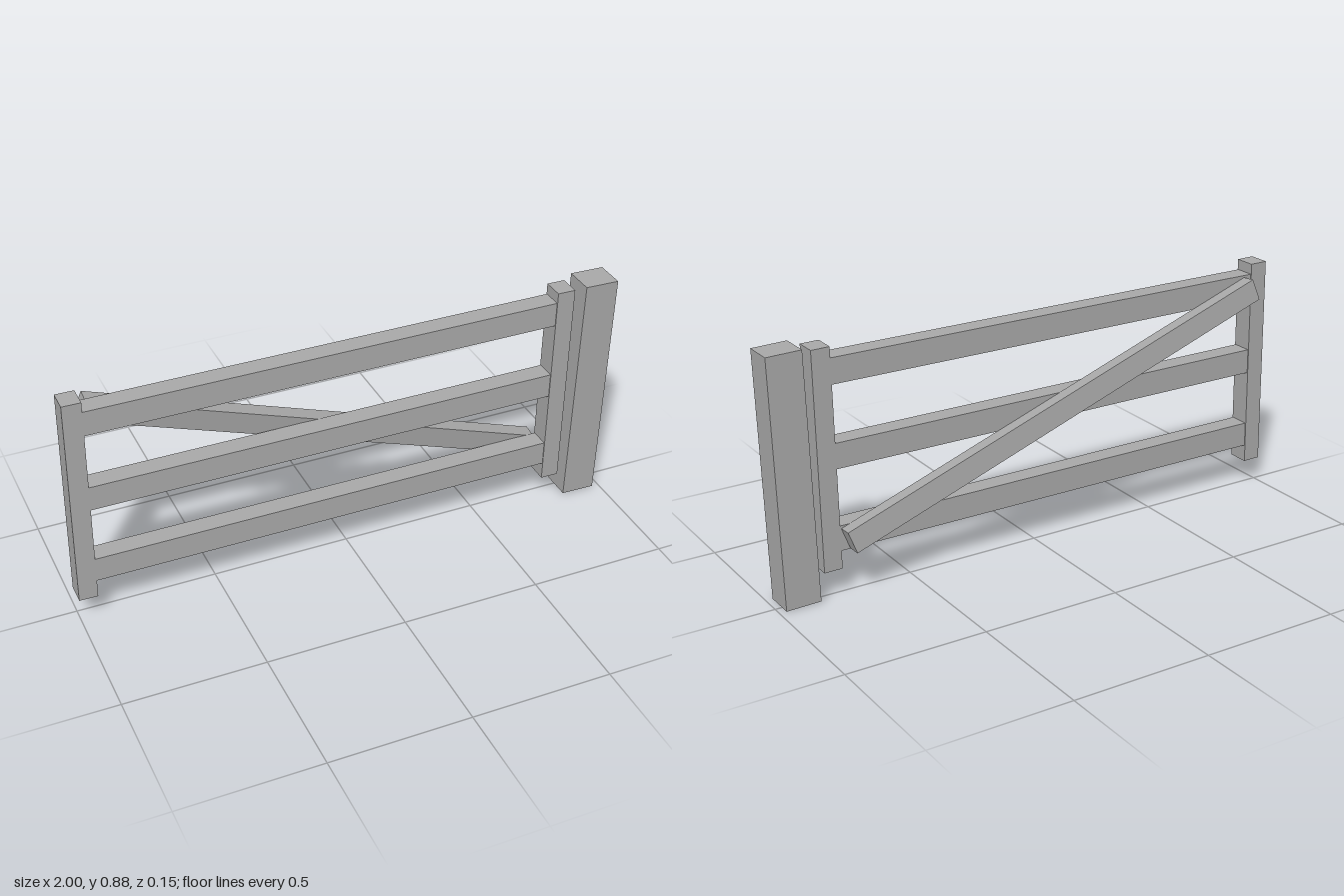
import * as THREE from 'three';

export function createModel() {
  const gate = new THREE.Group();
  gate.name = 'fieldGate';
  const grey = new THREE.MeshStandardMaterial({ color: 0xa8a8a8 });
  grey.name = 'plain grey';

  // One squared timber: size, centre, roll about its length and lean in the gate plane
  function timber(name, size, centre, rx = 0, rz = 0) {
    const mesh = new THREE.Mesh(new THREE.BoxGeometry(...size), grey);
    mesh.name = name;
    mesh.position.set(...centre);
    mesh.rotation.set(rx, 0, rz, 'ZYX');
    gate.add(mesh);
  }

  // Heavy hanging post, leaning slightly
  timber('hangingPost', [0.125, 0.875, 0.109], [0.923, 0.4395, 0.021], 0.006, -0.023);

  // Upright stiles at both ends of the gate
  timber('rightStile', [0.066, 0.775, 0.078], [-0.963, 0.479, 0.021], 0, -0.0135);
  timber('leftStile', [0.066, 0.775, 0.078], [0.798, 0.479, 0.021], 0, -0.0135);

  // Three horizontal rails let into the stiles
  [['bottomRail', 0.2], ['middleRail', 0.492], ['topRail', 0.783]].forEach(([name, y]) => {
    timber(name, [1.72, 0.09, 0.072], [-0.082, y, 0.021]);
  });

  // Diagonal brace across the back, rolled a little
  timber('diagonalBrace', [1.752, 0.081, 0.055], [-0.0815, 0.492, -0.045], 0.11, -0.341);

  return gate;
}
